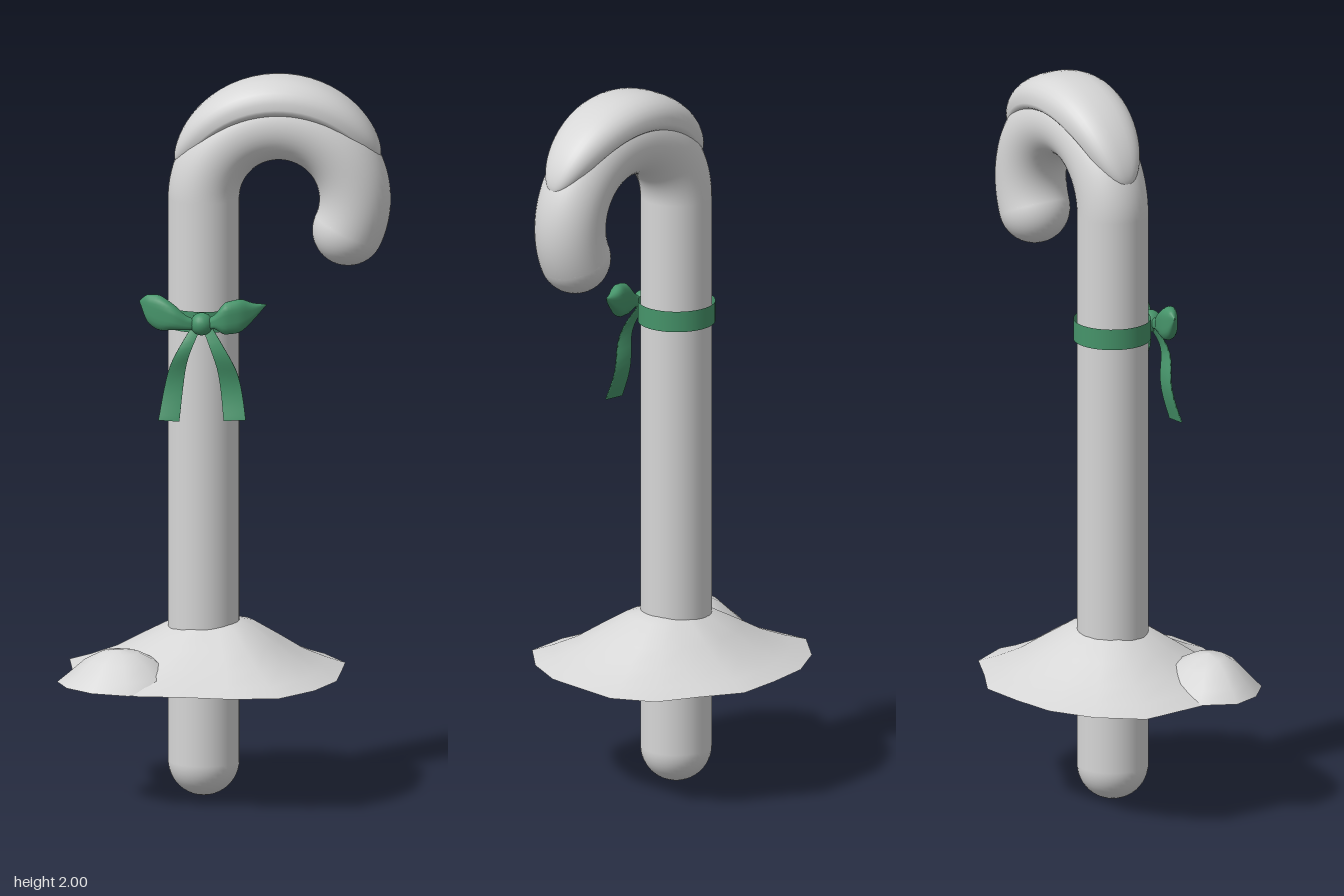
import * as THREE from 'three';

const mat = (name, color, side = THREE.FrontSide) => {
  const m = new THREE.MeshStandardMaterial({ color, side });
  m.name = name;
  return m;
};

// Joins equal-length rings of [x, y, z] into one smooth surface.
function loft(rings, closed = true) {
  const n = rings[0].length, index = [];
  for (let i = 0; i < rings.length - 1; i++) {
    for (let j = 0; j < (closed ? n : n - 1); j++) {
      const k = (j + 1) % n, a = i * n + j, b = i * n + k, c = a + n, d = b + n;
      index.push(a, c, b, b, c, d);
    }
  }
  const g = new THREE.BufferGeometry();
  g.setAttribute('position', new THREE.Float32BufferAttribute(rings.flat(2), 3));
  g.setIndex(index);
  g.computeVertexNormals();
  return g;
}

// Crescent of snow lying along the outside of the hook.
function capGeometry(cx, cy) {
  const rings = [], steps = 40, sides = 32;
  for (let i = 0; i <= steps; i++) {
    const s = -Math.cos((i / steps) * Math.PI);
    const f = Math.sqrt(Math.max(0, 1 - s * s));
    const angle = THREE.MathUtils.degToRad(92 - 69 * s);
    const base = 0.293 - 0.028 * f, ring = [];
    for (let j = 0; j < sides; j++) {
      const t = (j / sides) * Math.PI * 2, c = Math.cos(t), q = Math.sin(t);
      const r = base + (q > 0 ? 0.075 : 0.03) * f * Math.sign(q) * Math.abs(q) ** 0.85;
      const z = 0.105 * f * Math.sign(c) * Math.abs(c) ** 0.8;
      ring.push([cx + r * Math.cos(angle), cy + r * Math.sin(angle), z]);
    }
    rings.push(ring);
  }
  return loft(rings);
}

// Open snow mound: an irregular outline scaled inwards and upwards by a profile of [scale, height].
function moundGeometry(outline, peak, profile) {
  return loft(profile.map(([s, y]) => outline.map(([x, z]) =>
    [peak[0] + (x - peak[0]) * s, y, peak[1] + (z - peak[1]) * s])));
}

// Puffed bow loop: sections of [x, y, z, half height, half depth] with soft pleats.
function bowLoop(sections) {
  const path = new THREE.CatmullRomCurve3(sections.map(s => new THREE.Vector3(s[0], s[1], s[2])));
  const size = new THREE.CatmullRomCurve3(sections.map(s => new THREE.Vector3(s[3], s[4], 0)));
  const rings = [];
  for (let i = 0; i <= 20; i++) {
    const p = path.getPoint(i / 20), r = size.getPoint(i / 20), ring = [];
    for (let j = 0; j < 24; j++) {
      const a = (j / 24) * Math.PI * 2, pleat = 1 - 0.07 * (1 + Math.cos(a * 4));
      ring.push([p.x, p.y + r.x * Math.sin(a) * (1 - 0.03 * (1 + Math.cos(a * 4))), p.z + r.y * Math.cos(a) * pleat]);
    }
    rings.push(ring);
  }
  return loft(rings);
}

// Thin ribbon strip between two edges, each given as [x, y] points.
function ribbonTail(edgeA, edgeB) {
  const depth = new THREE.SplineCurve([[0, 0.115], [0.25, 0.138], [0.55, 0.125], [1, 0.147]]
    .map(p => new THREE.Vector2(...p)));
  const [a, b] = [edgeA, edgeB].map(e => new THREE.SplineCurve(e.map(p => new THREE.Vector2(...p))));
  const rings = [];
  for (let i = 0; i <= 14; i++) {
    const t = i / 14, p = a.getPoint(t), q = b.getPoint(t), z = depth.getPoint(t).y;
    const h = 0.003;
    rings.push([[p.x, p.y, z + h], [q.x, q.y, z + h], [q.x, q.y, z - h], [p.x, p.y, z - h]]);
  }
  return loft(rings);
}

export function createModel() {
  const root = new THREE.Group();
  root.name = 'snowyCane';
  const white = mat('caneWhite', 0xd6d6d6);
  const snow = mat('snowWhite', 0xd6d6d6, THREE.DoubleSide);
  const green = mat('ribbonGreen', 0x46946a, THREE.DoubleSide);

  const add = (parent, name, geometry, material, x = 0, y = 0, z = 0) => {
    const m = new THREE.Mesh(geometry, material);
    m.name = name;
    m.position.set(x, y, z);
    parent.add(m);
    return m;
  };

  // Cane
  const cane = new THREE.Group();
  cane.name = 'cane';
  root.add(cane);
  const R = 0.097, bend = 0.205, cx = 0.145, cy = 1.66, shaftX = cx - bend;
  const over = THREE.MathUtils.degToRad(25);
  add(cane, 'shaft', new THREE.CylinderGeometry(R, R, cy - 0.1, 40, 1, true), white, shaftX, (cy + 0.1) / 2);
  add(cane, 'shaftTip', new THREE.SphereGeometry(R, 40, 24), white, shaftX, 0.1);
  add(cane, 'hook', new THREE.TorusGeometry(bend, R, 40, 60, Math.PI + over), white, cx, cy).rotation.z = -over;
  add(cane, 'hookTip', new THREE.SphereGeometry(R, 40, 24), white,
    cx + bend * Math.cos(over), cy - bend * Math.sin(over));

  // Snow on the hook
  add(root, 'hookSnow', capGeometry(cx, cy), snow);

  // Snow mounds around the shaft
  const bigOutline = [
    [0.03, -0.345], [0.14, -0.285], [0.255, -0.23], [0.318, -0.12], [0.312, 0], [0.305, 0.11],
    [0.25, 0.23], [0.16, 0.33], [0.03, 0.345], [-0.1, 0.328], [-0.23, 0.323], [-0.34, 0.21],
    [-0.41, 0.06], [-0.43, -0.13], [-0.34, -0.24], [-0.225, -0.31], [-0.1, -0.333],
  ];
  const smallOutline = [
    [-0.45, 0.15], [-0.405, 0.06], [-0.32, 0.02], [-0.2, 0.03], [-0.12, 0.1], [-0.1, 0.19],
    [-0.15, 0.28], [-0.25, 0.32], [-0.35, 0.293], [-0.42, 0.23],
  ];
  add(root, 'largeSnowMound', moundGeometry(bigOutline, [-0.03, 0],
    [[1, 0.345], [0.85, 0.365], [0.67, 0.395], [0.5, 0.435], [0.3, 0.48], [0.15, 0.493], [0, 0.495]]), snow);
  add(root, 'smallSnowMound', moundGeometry(smallOutline, [-0.28, 0.17],
    [[1, 0.345], [0.8, 0.374], [0.55, 0.412], [0.3, 0.434], [0, 0.442]]), snow);

  // Ribbon bow
  const bow = new THREE.Group();
  bow.name = 'bow';
  root.add(bow);
  add(bow, 'band', new THREE.CylinderGeometry(0.105, 0.105, 0.058, 40, 1, true), green, shaftX, 1.335, -0.002);
  add(bow, 'knot', new THREE.SphereGeometry(0.031, 20, 14), green, shaftX, 1.335, 0.12);
  add(bow, 'rightLoop', bowLoop([
    [-0.07, 1.333, 0.12, 0.014, 0.012], [-0.1, 1.338, 0.124, 0.02, 0.02], [-0.135, 1.352, 0.118, 0.036, 0.032],
    [-0.175, 1.362, 0.106, 0.051, 0.03], [-0.208, 1.372, 0.097, 0.04, 0.019], [-0.23, 1.39, 0.09, 0.001, 0.001],
  ]), green);
  add(bow, 'leftLoop', bowLoop([
    [-0.05, 1.333, 0.12, 0.014, 0.012], [-0.025, 1.343, 0.128, 0.02, 0.02], [0.005, 1.353, 0.13, 0.047, 0.026],
    [0.04, 1.358, 0.12, 0.049, 0.028], [0.078, 1.367, 0.106, 0.026, 0.018], [0.115, 1.385, 0.094, 0.001, 0.001],
  ]), green);
  add(bow, 'rightTail', ribbonTail(
    [[-0.085, 1.33], [-0.145, 1.22], [-0.176, 1.073]],
    [[-0.062, 1.325], [-0.1, 1.225], [-0.119, 1.07]]), green);
  add(bow, 'leftTail', ribbonTail(
    [[-0.058, 1.325], [-0.018, 1.215], [0.001, 1.073]],
    [[-0.035, 1.33], [0.034, 1.21], [0.061, 1.076]]), green);
  return root;
}
